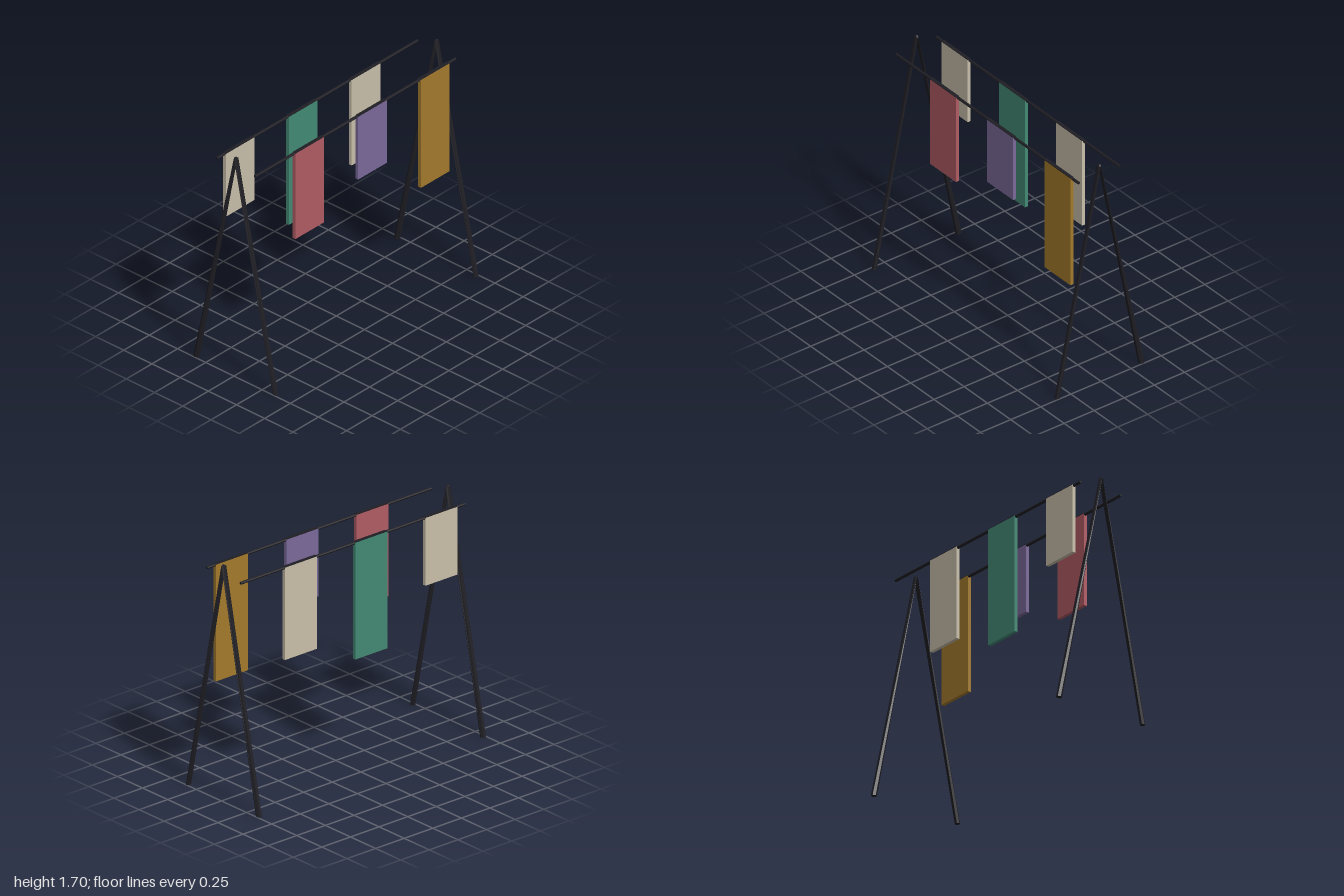
import * as THREE from 'three';

const mat = (name, color, flat = false) => {
  const m = new THREE.MeshStandardMaterial({ color });
  m.name = name;
  m.flatShading = flat;
  return m;
};

export function createModel() {
  const group = new THREE.Group();
  const frame = mat('dark steel', 0x1e1e24, true);
  const cream = mat('cream cloth', 0xc9bfaa);
  const red = mat('rose cloth', 0xb05c63);
  const green = mat('green cloth', 0x438a75);
  const violet = mat('violet cloth', 0x7a6999);
  const amber = mat('amber cloth', 0xa37a2c);

  const add = (name, geometry, material, x, y, z) => {
    const mesh = new THREE.Mesh(geometry, material);
    mesh.name = name;
    mesh.position.set(x, y, z);
    group.add(mesh);
    return mesh;
  };

  // Slanted six-sided leg, thinning towards a pointed top
  const legGeometry = (side, footDepth) => {
    const H = 1.695;
    const g = new THREE.CylinderGeometry(0.02, 0.02, H, 6, 1, false, Math.PI / 2);
    const p = g.attributes.position;
    for (let i = 0; i < p.count; i++) {
      const x = p.getX(i), t = p.getY(i) / H + 0.5;
      const depth = THREE.MathUtils.lerp(footDepth, 0.009, t) / 0.0346;
      const z = p.getZ(i) * depth + side * THREE.MathUtils.lerp(0.35, 0.003, t);
      p.setXYZ(i, x, t > 0.5 ? H - Math.abs(x) * 0.8 : 0, z);
    }
    g.computeVertexNormals();
    return g;
  };
  for (const x of [-0.98, 0.98]) {
    add('frontLeg', legGeometry(1, 0.029), frame, x, 0, 0);
    add('backLeg', legGeometry(-1, 0.037), frame, x, 0, 0);
  }

  // Two parallel rails
  for (const z of [-0.168, 0.168]) {
    const rail = add('rail', new THREE.CylinderGeometry(0.01, 0.01, 1.96, 6), frame, 0, 1.612, z);
    rail.rotation.z = Math.PI / 2;
  }

  // Hanging cloths, alternating between the back and front rail
  const cloths = [cream, red, green, violet, cream, amber];
  const lengths = [0.487, 0.663, 0.838];
  const top = 1.617;
  cloths.forEach((material, i) => {
    const x = (i - 2.5) * 0.307;
    const z = i % 2 ? 0.17 : -0.166;
    const h = lengths[i % 3];
    add('hangingCloth', new THREE.BoxGeometry(0.28, h, 0.025), material, x, top - h / 2, z);
    add('topSeam', new THREE.BoxGeometry(0.28, 0.004, 0.025), frame, x, top + 0.002, z);
  });

  return group;
}
